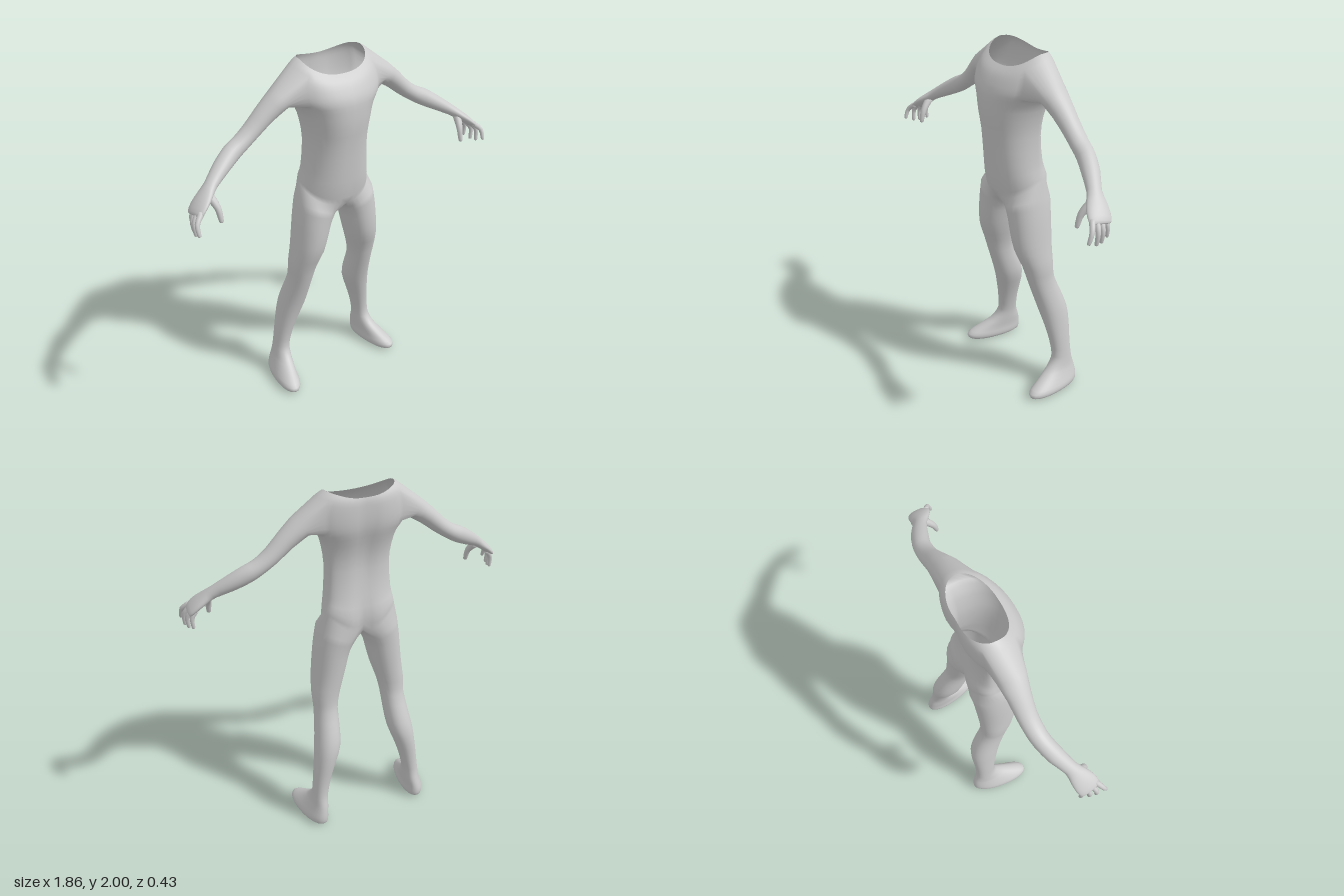
import * as THREE from 'three';
import { mergeVertices } from 'three/addons/utils/BufferGeometryUtils.js';

const V = (x, y, z) => new THREE.Vector3(x, y, z);
const COLS = 20;          // columns from front centre to back centre of the half torso
const SIDES = 28;         // points around an arm or a leg
const STEP = (Math.PI * 2) / SIDES;

// Adds smooth in-between rows to a table of section values (Catmull-Rom).
function smooth(rows, n = 2) {
  const out = [];
  const at = i => rows[Math.min(Math.max(i, 0), rows.length - 1)];
  for (let i = 0; i < rows.length - 1; i++) {
    for (let s = 0; s < n; s++) {
      const t = s / n;
      out.push(rows[i].map((b, c) => {
        const a = at(i - 1)[c], d = at(i + 1)[c], e = at(i + 2)[c];
        return b + 0.5 * t * (d - a + t * (2 * a - 5 * b + 4 * d - e + t * (3 * (b - d) + e - a)));
      }));
    }
  }
  out.push(rows[rows.length - 1]);
  return out;
}

const power = (v, p) => Math.sign(v) * Math.abs(v) ** p;

// Half torso section, front centre -> left side -> back centre.
function torsoRow([yF, yS, yB, w, zF, zB, groove]) {
  const row = [];
  for (let j = 0; j <= COLS; j++) {
    const a = (Math.PI * j) / COLS, c = Math.cos(a), zc = -0.02;
    const x = j % COLS ? w * Math.sin(a) ** 0.85 : 0;
    const y = c > 0 ? yS + (yF - yS) * c ** 1.2 : yS + (yB - yS) * (-c) ** 3;
    let z = zc + power(c, 0.87) * (c > 0 ? zF - zc : zc - zB);
    if (c < 0) z += groove * Math.exp(-((x / 0.05) ** 2));
    row.push(V(x, y, z));
  }
  return row;
}

// Horizontal leg section, turning the same way as the torso rows.
function legRing([yIn, yOut, xIn, xOut, zF, zB, shear]) {
  return Array.from({ length: SIDES }, (_, k) => {
    const a = -Math.PI / 2 + (4 + k) * STEP;
    const s = power(Math.sin(a), 0.92), c = power(Math.cos(a), 0.92);
    const dz = c * (zF - zB) / 2;
    return V((xIn + xOut) / 2 + s * (xOut - xIn) / 2 + shear * dz,
      (yIn + yOut) / 2 + s * (yOut - yIn) / 2, (zF + zB) / 2 + dz);
  });
}

// Elliptical rings along a path; each section is x, y, z, thickness, breadth.
function pathRings(sections, sides) {
  const pts = sections.map(s => V(s[0], s[1], s[2]));
  return sections.map((s, i) => {
    const t = pts[Math.min(i + 1, pts.length - 1)].clone().sub(pts[Math.max(i - 1, 0)]).normalize();
    const front = V(0, 0, 1).addScaledVector(t, -t.z).normalize();
    const up = front.clone().cross(t);
    return Array.from({ length: sides }, (_, k) => {
      const a = Math.PI / 2 + ((k - 4) * Math.PI * 2) / sides;
      return pts[i].clone().addScaledVector(front, Math.cos(a) * s[4]).addScaledVector(up, -Math.sin(a) * s[3]);
    });
  });
}

// Collects triangles; join() skins two loops, the second lying further along the axis.
class Skin {
  constructor() { this.p = []; }
  quad(a, b, c, d) { [a, b, c, a, c, d].forEach(v => this.p.push(v.x, v.y, v.z)); }
  join(lo, hi) {
    lo.forEach((v, k) => { const n = (k + 1) % lo.length; this.quad(v, lo[n], hi[n], hi[k]); });
  }
  tube(rings) { for (let i = 1; i < rings.length; i++) this.join(rings[i - 1], rings[i]); }
  mirror() {
    const src = this.p.slice();
    for (let i = 0; i < src.length; i += 9)
      for (const o of [0, 6, 3]) this.p.push(-src[i + o], src[i + o + 1], src[i + o + 2]);
  }
  mesh(name, material) {
    let g = new THREE.BufferGeometry();
    g.setAttribute('position', new THREE.Float32BufferAttribute(this.p, 3));
    g = mergeVertices(g, 1e-5);
    g.computeVertexNormals();
    const m = new THREE.Mesh(g, material);
    m.name = name;
    return m;
  }
}

// Collapses a ring to its middle to close an end.
function capOf(ring) {
  const c = ring.reduce((s, v) => s.add(v), V(0, 0, 0)).divideScalar(ring.length);
  return ring.map(() => c);
}

// Torso: yFront, ySide, yBack, half width, zFront, zBack, spine groove
const TORSO = [
  [1.19, 1.30, 1.19, 0.207, 0.135, -0.118, 0.035],
  [1.28, 1.34, 1.28, 0.198, 0.155, -0.122, 0.025],
  [1.40, 1.40, 1.40, 0.185, 0.168, -0.092, 0.010],
  [1.55, 1.55, 1.55, 0.175, 0.182, -0.077, 0.012],
  [1.66, 1.66, 1.66, 0.188, 0.197, -0.092, 0.015],
  [1.75, 1.74, 1.75, 0.212, 0.199, -0.122, 0.018],
  [1.80, 1.79, 1.80, 0.250, 0.194, -0.135, 0.018],
  [1.84, 1.85, 1.85, 0.262, 0.178, -0.140, 0.016],
  [1.88, 1.92, 1.90, 0.255, 0.155, -0.140, 0.013],
  [1.905, 1.973, 1.94, 0.230, 0.133, -0.137, 0.010],
  [1.925, 2.00, 1.965, 0.190, 0.110, -0.128, 0.006],
];

// Leg and foot: yInner, yOuter, xInner, xOuter, zFront, zBack, shear
const LEG = [
  [1.12, 1.21, 0.020, 0.230, 0.135, -0.118, 0],
  [1.07, 1.11, 0.050, 0.246, 0.133, -0.110, 0],
  [1.00, 1.00, 0.070, 0.258, 0.130, -0.105, 0],
  [0.90, 0.90, 0.095, 0.268, 0.117, -0.100, 0],
  [0.80, 0.80, 0.125, 0.278, 0.080, -0.098, 0],
  [0.71, 0.71, 0.143, 0.275, 0.054, -0.105, 0],
  [0.60, 0.60, 0.149, 0.287, 0.020, -0.148, 0],
  [0.50, 0.50, 0.160, 0.303, -0.010, -0.180, 0],
  [0.40, 0.40, 0.195, 0.315, -0.035, -0.185, 0],
  [0.30, 0.30, 0.227, 0.327, -0.055, -0.180, 0],
  [0.20, 0.20, 0.250, 0.337, -0.063, -0.182, 0],
  [0.15, 0.15, 0.255, 0.345, -0.035, -0.192, 0.04],
  [0.115, 0.115, 0.258, 0.355, 0.005, -0.202, 0.08],
  [0.07, 0.07, 0.264, 0.380, 0.082, -0.211, 0.12],
  [0.04, 0.04, 0.263, 0.397, 0.130, -0.213, 0.13],
  [0.015, 0.015, 0.267, 0.395, 0.130, -0.209, 0.13],
  [0.00, 0.00, 0.285, 0.375, 0.105, -0.190, 0.13],
];

// Arm and palm: x, y, z, thickness, breadth
const ARM = [
  [0.32, 1.825, -0.010, 0.060, 0.078],
  [0.40, 1.765, -0.013, 0.052, 0.062],
  [0.48, 1.695, -0.015, 0.045, 0.053],
  [0.55, 1.645, -0.010, 0.043, 0.050],
  [0.61, 1.612, 0.000, 0.047, 0.048],
  [0.69, 1.565, 0.030, 0.041, 0.046],
  [0.77, 1.515, 0.070, 0.030, 0.038],
  [0.815, 1.482, 0.090, 0.026, 0.052],
  [0.855, 1.450, 0.107, 0.023, 0.062],
  [0.887, 1.420, 0.120, 0.018, 0.060],
  [0.895, 1.410, 0.123, 0.010, 0.048],
];

// Digits: base, middle joint, tip, base radius, tip radius
const DIGITS = {
  thumb: [[0.80, 1.480, 0.100], [0.782, 1.425, 0.148], [0.778, 1.362, 0.168], 0.024, 0.012],
  indexFinger: [[0.875, 1.432, 0.158], [0.914, 1.395, 0.185], [0.918, 1.345, 0.204], 0.016, 0.010],
  middleFinger: [[0.875, 1.428, 0.133], [0.912, 1.385, 0.148], [0.912, 1.325, 0.155], 0.016, 0.010],
  ringFinger: [[0.872, 1.425, 0.106], [0.905, 1.380, 0.115], [0.902, 1.323, 0.119], 0.016, 0.010],
  littleFinger: [[0.865, 1.425, 0.080], [0.890, 1.385, 0.077], [0.888, 1.334, 0.076], 0.015, 0.009],
};

export function createModel() {
  const material = new THREE.MeshStandardMaterial({ color: 0xcccccc, side: THREE.DoubleSide });
  const group = new THREE.Group();
  const skin = new Skin();

  // Half torso, leaving an opening for the shoulder
  const rows = smooth(TORSO).map(torsoRow);
  const r0 = 12, r1 = 18, c0 = 6, c1 = 14;
  for (let r = 0; r < rows.length - 1; r++)
    for (let c = 0; c < COLS; c++)
      if (r < r0 || r >= r1 || c < c0 || c >= c1)
        skin.quad(rows[r][c], rows[r][c + 1], rows[r + 1][c + 1], rows[r + 1][c]);

  // Arm and palm grow out of the shoulder opening
  const shoulder = [];
  for (let c = c0; c < c1; c++) shoulder.push(rows[r0][c]);
  for (let r = r0; r < r1; r++) shoulder.push(rows[r][c1]);
  for (let c = c1; c > c0; c--) shoulder.push(rows[r1][c]);
  for (let r = r1; r > r0; r--) shoulder.push(rows[r][c0]);
  const arm = pathRings(smooth(ARM), SIDES);
  skin.tube([shoulder, ...arm, capOf(arm[arm.length - 1])]);

  // Leg and foot hang from the lowest torso row, closed by a crotch seam
  const hip = rows[0].slice(), back = hip[COLS], front = hip[0];
  for (let k = 1; k < 8; k++) {
    const p = back.clone().lerp(front, k / 8);
    p.y -= 0.042 * Math.sin((Math.PI * k) / 8);
    hip.push(p);
  }
  const leg = smooth(LEG).map(legRing);
  skin.tube([hip, ...leg, capOf(leg[leg.length - 1])].reverse());
  skin.mirror();
  group.add(skin.mesh('body', material));

  // Thumbs and fingers with rounded tips, on both hands
  for (const [name, [base, mid, tip, rb, rt]] of Object.entries(DIGITS)) {
    const end = tip.map((v, i) => v + (v - mid[i]) * 0.16);
    const rm = rb * 0.45 + rt * 0.55;
    const path = smooth([[...base, rb, rb], [...mid, rm, rm], [...tip, rt, rt], [...end, rt * 0.4, rt * 0.4]], 3);
    const rings = pathRings(path, 12);
    const digit = new Skin();
    digit.tube([capOf(rings[0]), ...rings, capOf(rings[rings.length - 1])]);
    digit.mirror();
    group.add(digit.mesh(name + 's', material));
  }
  return group;
}
